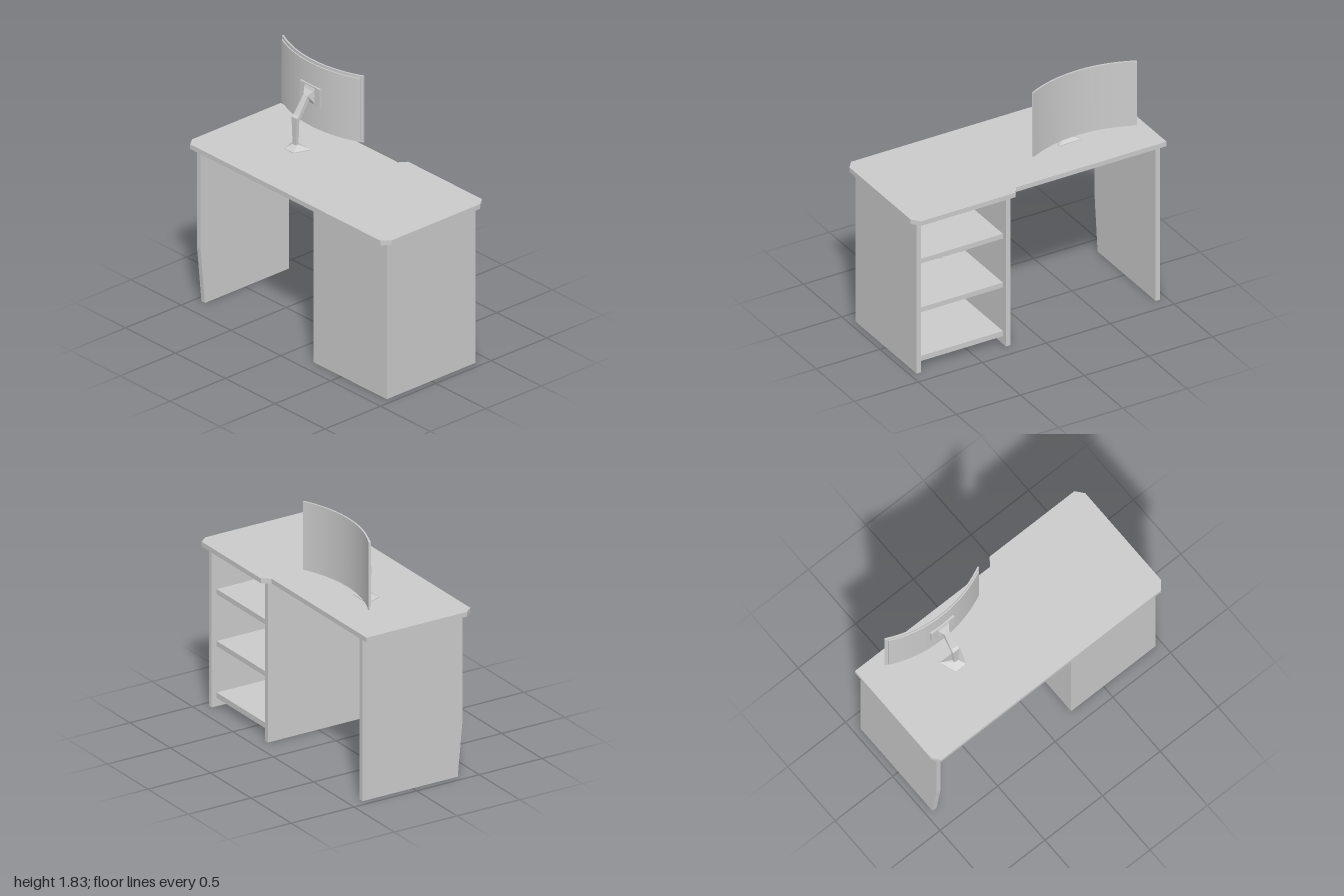
import * as THREE from 'three';
import { toCreasedNormals } from 'three/addons/utils/BufferGeometryUtils.js';

const material = new THREE.MeshStandardMaterial({ color: 0xcccccc });

function add(parent, name, geometry) {
  const mesh = new THREE.Mesh(geometry, material);
  mesh.name = name;
  parent.add(mesh);
  return mesh;
}

// Box given by its limits on each axis
function block(parent, name, [x0, x1], [y0, y1], [z0, z1]) {
  const mesh = add(parent, name, new THREE.BoxGeometry(x1 - x0, y1 - y0, z1 - z0));
  mesh.position.set((x0 + x1) / 2, (y0 + y1) / 2, (z0 + z1) / 2);
  return mesh;
}

// Plan outline (x, -z) extruded upwards from y0 to y1
function plan(shape, y0, y1, curveSegments = 12) {
  const g = new THREE.ExtrudeGeometry(shape, { depth: y1 - y0, bevelEnabled: false, curveSegments });
  return toCreasedNormals(g.rotateX(-Math.PI / 2).translate(0, y0, 0), 0.6);
}

const polygon = (points) => new THREE.Shape(points.map(([x, y]) => new THREE.Vector2(x, y)));

// Four-sided tube through sections [ax, ay, aHalfDepth, bx, by, bHalfDepth]
function loft(sections) {
  const rings = sections.map(([ax, ay, ah, bx, by, bh]) =>
    [[ax, ay, ah], [bx, by, bh], [bx, by, -bh], [ax, ay, -ah]]);
  const pos = [];
  for (let s = 0; s < rings.length - 1; s++) {
    const p = rings[s], q = rings[s + 1];
    for (let i = 0; i < 4; i++) {
      const j = (i + 1) % 4;
      pos.push(...p[i], ...p[j], ...q[j], ...p[i], ...q[j], ...q[i]);
    }
  }
  const g = new THREE.BufferGeometry();
  g.setAttribute('position', new THREE.Float32BufferAttribute(pos, 3));
  g.computeVertexNormals();
  return g;
}

// Book with a rounded spine towards +x, standing on its base centre, then tilted
function book(parent, z, y, w, h, tilt = 0) {
  const g = new THREE.Group();
  g.name = 'book';
  const back = -0.33, spine = -0.145, t = 0.005, r = w / 2;
  const cover = new THREE.Shape();
  cover.moveTo(back, -r);
  cover.lineTo(spine, -r);
  cover.quadraticCurveTo(spine + 0.03, 0, spine, r);
  cover.lineTo(back, r);
  cover.lineTo(back, r - t);
  cover.lineTo(spine, r - t);
  cover.quadraticCurveTo(spine + 0.02, 0, spine, -r + t);
  cover.lineTo(back, -r + t);
  add(g, 'bookCover', plan(cover, 0, h, 8));
  block(g, 'bookPages', [back + 0.006, spine], [0.005, h - 0.005], [-r + t, r - t]);
  g.position.set(0, y, z);
  g.rotation.x = tilt;
  parent.add(g);
}

// Curved slab around a vertical axis in front of the screen
function curvedSlab(inner, outer, halfAngle, y0, y1) {
  const cx = 1.087, cy = 0.436, s = new THREE.Shape();
  s.absarc(cx, cy, outer, Math.PI - halfAngle, Math.PI + halfAngle, false);
  s.absarc(cx, cy, inner, Math.PI + halfAngle, Math.PI - halfAngle, true);
  s.closePath();
  return plan(s, y0, y1, 24);
}

export function createModel() {
  const model = new THREE.Group();
  model.name = 'desk';

  // Desktop with clipped corners, wider over the cabinet
  add(model, 'desktop', plan(polygon([
    [-0.458, -0.953], [-0.4, -1], [0.4, -1], [0.458, -0.953], [0.458, -0.215],
    [0.4, -0.175], [0.4, 1], [-0.4, 1], [-0.458, 0.955],
  ]), 1.18, 1.215));

  // Leg panel with its rear edge tapering near the floor
  const leg = new THREE.ExtrudeGeometry(
    polygon([[-0.36, 0], [0.4, 0], [0.4, 1.18], [-0.4, 1.18], [-0.4, 0.42]]),
    { depth: 0.035, bevelEnabled: false });
  add(model, 'legPanel', leg).position.z = -0.95;

  // Open cabinet
  const cabinet = new THREE.Group();
  cabinet.name = 'cabinet';
  model.add(cabinet);
  for (const z of [[0.22, 0.255], [0.918, 0.953]]) {
    block(cabinet, 'cabinetSide', [-0.4, 0.4], [0, 1.18], z);
  }
  block(cabinet, 'cabinetBack', [-0.4, -0.365], [0, 1.18], [0.255, 0.918]);
  for (const y of [[0.06, 0.1], [0.44, 0.477], [0.82, 0.857]]) {
    block(cabinet, 'shelf', [-0.365, 0.36], y, [0.255, 0.918]);
  }

  // Books on the upper and middle shelves: z, y, width, height, tilt
  const flat = -Math.PI / 2;
  [
    [0.887, 0.857, 0.055, 0.213],
    [0.773, 0.865, 0.055, 0.175, 0.312],
    [0.71, 0.882, 0.05, 0.21, flat],
    [0.858, 0.497, 0.05, 0.207, -1.19],
    [0.72, 0.502, 0.05, 0.21, flat],
    [0.448, 0.477, 0.055, 0.212],
    [0.384, 0.477, 0.04, 0.145],
    [0.34, 0.477, 0.04, 0.145],
    [0.284, 0.477, 0.052, 0.212],
  ].forEach((b) => book(cabinet, ...b));

  // Curved monitor facing +x
  const monitor = new THREE.Group();
  monitor.name = 'monitor';
  model.add(monitor);
  add(monitor, 'screen', curvedSlab(0.9, 0.912, 0.466, 1.33, 1.83));
  add(monitor, 'screenBack', curvedSlab(0.912, 0.921, 0.44, 1.345, 1.81));
  block(monitor, 'mountPlate', [0.154, 0.175], [1.51, 1.65], [-0.536, -0.336]);

  // Stand: flared foot, column, elbow and arm widening to the plate
  add(monitor, 'stand', loft([
    [-0.035, 1.215, 0.045, 0.085, 1.215, 0.088],
    [-0.035, 1.22, 0.045, 0.085, 1.22, 0.088],
    [0.014, 1.248, 0.016, 0.037, 1.248, 0.018],
    [0.014, 1.45, 0.027, 0.036, 1.428, 0.027],
    [0.035, 1.465, 0.027, 0.045, 1.435, 0.027],
    [0.115, 1.585, 0.021, 0.132, 1.55, 0.021],
    [0.145, 1.62, 0.045, 0.146, 1.54, 0.045],
    [0.156, 1.645, 0.05, 0.156, 1.515, 0.05],
  ])).position.z = -0.436;

  return model;
}
